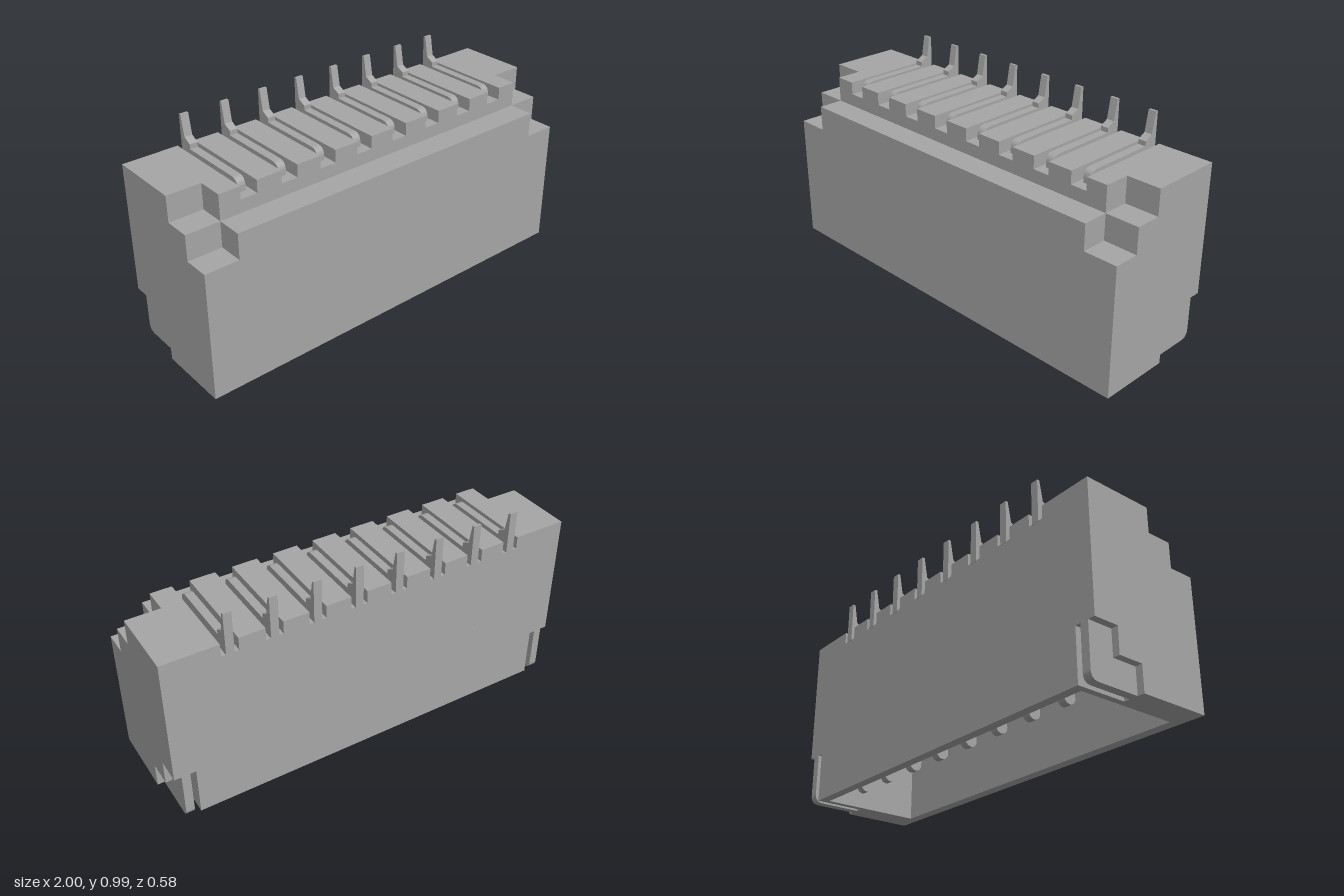
import * as THREE from 'three';

const grey = new THREE.MeshStandardMaterial({ color: 0xa6a6a6 });
grey.name = 'plain grey';

// Prism along x, from a profile of [z, y] points
function prism(name, shape, x0, x1) {
  const geo = new THREE.ExtrudeGeometry(shape, { depth: x1 - x0, bevelEnabled: false, curveSegments: 8 });
  geo.rotateY(Math.PI / 2);
  geo.translate(x0, 0, 0);
  const mesh = new THREE.Mesh(geo, grey);
  mesh.name = name;
  return mesh;
}
const outline = (pts) => new THREE.Shape(pts.map(([z, y]) => new THREE.Vector2(-z, y)));

const B = -0.29, F = 0.29;
const cavity = [[F - 0.05, 0], [F - 0.05, 0.55], [B + 0.045, 0.55], [B + 0.045, 0]];
const cornerTop = [[B, 0.85], [0.05, 0.85], [0.05, 0.73], [0.17, 0.73], [0.17, 0.61], [F, 0.61], [F, 0]];
const notch = [[-0.05, 0], [-0.05, 0.12], [-0.17, 0.12], [-0.17, 0.24], [B, 0.24]];
const middle = (top) => outline([[B, 0], [B, top], [0.17, top], [0.17, 0.73], [F, 0.73], [F, 0], ...cavity]);

// Retaining tab filling the notch, rounded at the lower back corner
function tabShape() {
  const s = new THREE.Shape();
  s.moveTo(0.05, 0);
  s.lineTo(0.25, 0);
  s.quadraticCurveTo(0.291, 0, 0.291, 0.04);
  s.lineTo(0.291, 0.24);
  s.lineTo(0.17, 0.24);
  s.lineTo(0.17, 0.12);
  s.lineTo(0.05, 0.12);
  return s;
}

// Terminal lying in its slot, with an upturned solder tail at the back
function terminalShape() {
  const s = new THREE.Shape();
  s.moveTo(0.292, 0.785);
  s.lineTo(0.292, 0.99);
  s.lineTo(0.28, 0.99);
  s.lineTo(0.263, 0.893);
  s.lineTo(0.225, 0.873);
  s.lineTo(0.225, 0.851);
  s.lineTo(-0.08, 0.851);
  s.quadraticCurveTo(-0.12, 0.851, -0.12, 0.81);
  s.lineTo(-0.12, 0.785);
  return s;
}

// Contact hanging in the cavity with a rounded tip
function contactShape() {
  const s = new THREE.Shape();
  s.moveTo(0.185, 0.56);
  s.lineTo(0.125, 0.56);
  s.lineTo(0.125, 0.05);
  s.absarc(0.155, 0.05, 0.03, Math.PI, Math.PI * 2, false);
  s.lineTo(0.185, 0.56);
  return s;
}

export function createModel() {
  const model = new THREE.Group();
  model.name = 'pinHeader';
  const housing = new THREE.Group();
  housing.name = 'housing';
  const pins = new THREE.Group();
  pins.name = 'terminals';
  model.add(housing, pins);

  // Mirrored ends: notched outer wall, inner wall, stepped corner, tab
  const mirrored = (name, shape, a, b) => {
    housing.add(prism(name + 'Left', shape, a, b), prism(name + 'Right', shape, -b, -a));
  };
  mirrored('endWall', outline([...notch, ...cornerTop]), 0.9, 1);
  mirrored('innerWall', outline([[B, 0], ...cornerTop]), 0.87, 0.9);
  mirrored('corner', outline([[B, 0], ...cornerTop, ...cavity]), 0.84, 0.87);
  mirrored('retainingTab', tabShape(), 0.927, 0.967);

  // Middle of the housing: ribs alternating with eight slots
  let x = -0.84;
  for (let i = 0; i < 8; i++) {
    const c = -0.7 + i * 0.2;
    housing.add(prism('rib', middle(0.85), x, c - 0.04));
    housing.add(prism('slot', middle(0.79), c - 0.04, c + 0.04));
    x = c + 0.04;
    pins.add(prism('terminal', terminalShape(), c - 0.019, c + 0.019));
    pins.add(prism('contact', contactShape(), c - 0.019, c + 0.019));
  }
  housing.add(prism('rib', middle(0.85), x, 0.84));
  return model;
}
